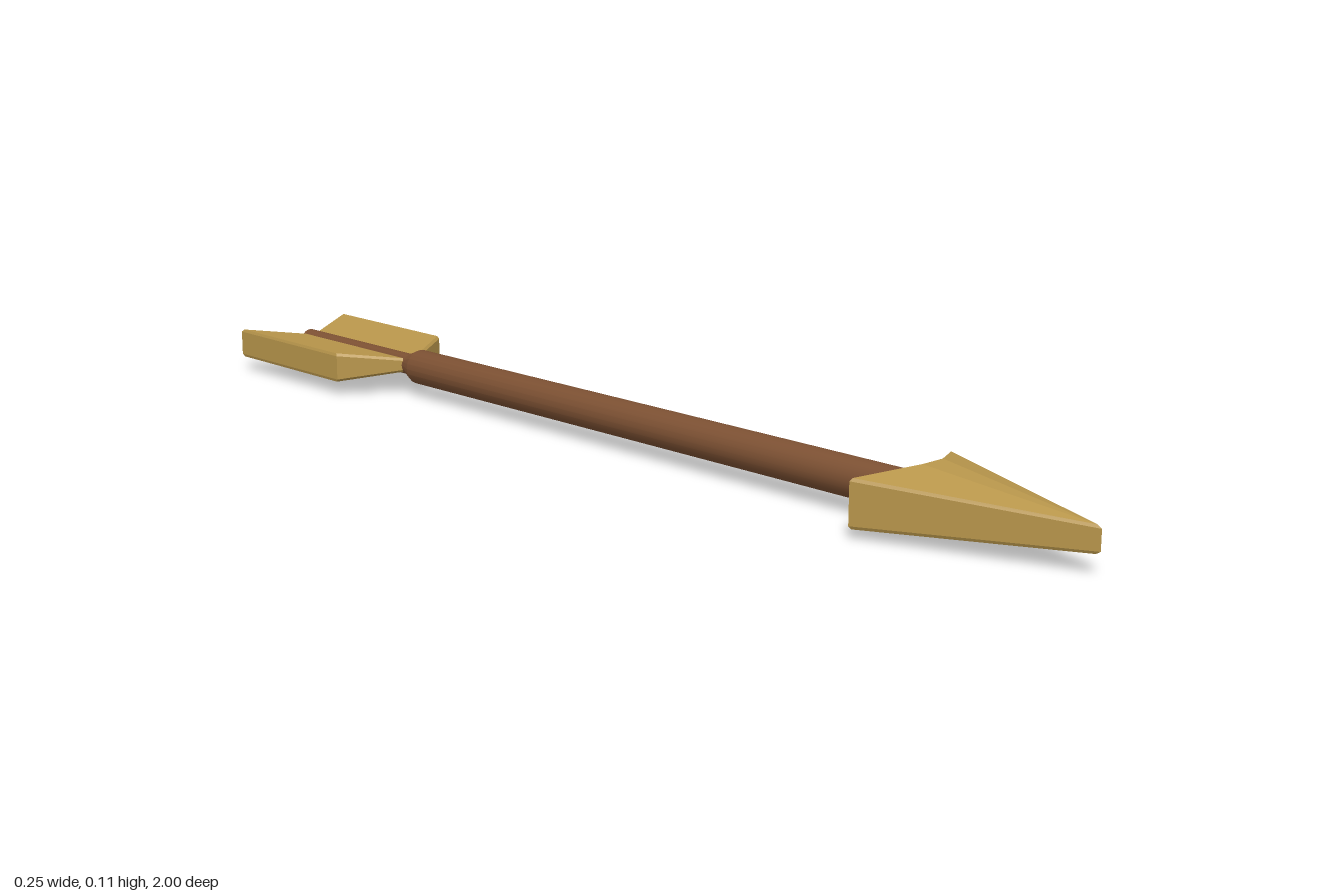
import * as THREE from 'three';
import { toCreasedNormals } from 'three/addons/utils/BufferGeometryUtils.js';

const CENTRE_Y = 0.056;
const BEVEL = 0.005;

// Solid mirrored about y = 0 from an outline of [x, z, halfHeight] corners,
// counter-clockwise seen from above, with a small bevelled rim.
function bladeGeometry(outline) {
  const n = outline.length;
  const cx = outline.reduce((s, p) => s + p[0], 0) / n;
  const cz = outline.reduce((s, p) => s + p[1], 0) / n;
  const ring = (inset, drop, side) => outline.map(([x, z, h]) =>
    [x + (cx - x) * inset, side * (h - drop), z + (cz - z) * inset]);
  const rings = [ring(0.03, 0, -1), ring(0, BEVEL, -1), ring(0, BEVEL, 1), ring(0.03, 0, 1)];
  const index = [];
  for (let r = 0; r < 3; r++) {
    for (let i = 0; i < n; i++) {
      const a = r * n + i, b = r * n + (i + 1) % n;
      index.push(a, b, b + n, a, b + n, a + n);
    }
  }
  // bottom and top faces
  for (let i = 1; i < n - 1; i++) {
    index.push(0, i + 1, i, 3 * n, 3 * n + i, 3 * n + i + 1);
  }
  const geometry = new THREE.BufferGeometry();
  geometry.setAttribute('position', new THREE.Float32BufferAttribute(rings.flat(2), 3));
  geometry.setIndex(index);
  return toCreasedNormals(geometry, 0.15);
}

export function createModel() {
  const model = new THREE.Group();
  model.name = 'arrow';
  const wood = new THREE.MeshStandardMaterial({ color: 0x7d5133 });
  const gold = new THREE.MeshStandardMaterial({ color: 0xb8964b });

  const add = (name, geometry, material) => {
    const mesh = new THREE.Mesh(geometry, material);
    mesh.name = name;
    mesh.position.y = CENTRE_Y;
    model.add(mesh);
    return mesh;
  };

  // Round shaft, necked down between the vanes
  const profile = [
    [0, -0.94], [0.02, -0.94], [0.02, -0.6], [0.033, -0.57], [0.033, 0.75], [0, 0.75],
  ].map(([r, z]) => new THREE.Vector2(r, z));
  const shaft = new THREE.LatheGeometry(profile, 20).rotateX(Math.PI / 2);
  add('shaft', toCreasedNormals(shaft, 0.5), wood);

  // Barbed head, thickest where it meets the shaft
  add('arrowhead', bladeGeometry([
    [0, 1, 0.022], [0.12, 0.633, 0.04], [0.025, 0.692, 0.056],
    [-0.025, 0.692, 0.056], [-0.12, 0.633, 0.04],
  ]), gold);

  // Pair of vanes, thickening outward from the shaft
  const vane = bladeGeometry([
    [0.01, -0.597, 0.013], [0.125, -0.67, 0.028], [0.125, -1, 0.028], [0.01, -0.935, 0.013],
  ]);
  add('leftVane', vane, gold);
  add('rightVane', vane, gold).rotation.z = Math.PI;

  return model;
}
